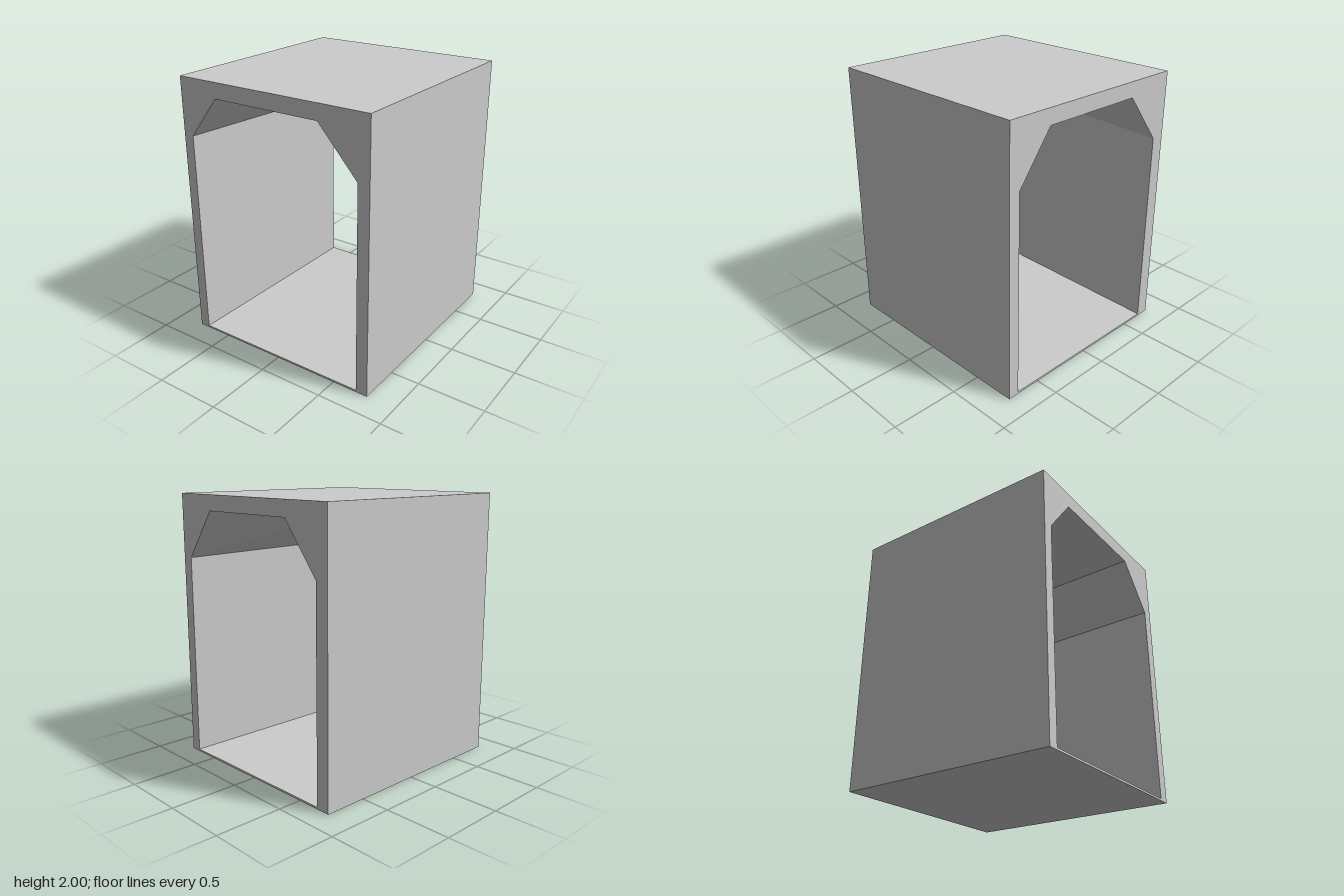
import * as THREE from 'three';

const W = 0.78, H = 2, D = 1.65;

// Opening outlines, matching corner by corner, at the front and the back
const frontOpening = [[-0.7, 0.015], [-0.7, 1.58], [-0.46, 1.885], [0.39, 1.885], [0.69, 1.55], [0.69, 0.015]];
const backOpening = [[-0.675, 0.015], [-0.675, 1.52], [-0.385, 1.885], [0.43, 1.885], [0.695, 1.53], [0.695, 0.015]];

const toPoints = (list) => list.map(([x, y]) => new THREE.Vector2(x, y));

export function createModel() {
  const group = new THREE.Group();
  group.name = 'tunnelSection';

  // Box shell with a chamfered passage running through it
  const outline = new THREE.Shape(toPoints([[-W, 0], [W, 0], [W, H], [-W, H]]));
  outline.holes.push(new THREE.Path(toPoints(frontOpening)));
  const geometry = new THREE.ExtrudeGeometry(outline, { depth: D, bevelEnabled: false });
  geometry.translate(0, 0, -D / 2);

  // Shift the rear corners of the passage so that it tapers slightly
  const pos = geometry.attributes.position;
  for (let i = 0; i < pos.count; i++) {
    if (pos.getZ(i) > 0) continue;
    const k = frontOpening.findIndex(([x, y]) => Math.hypot(pos.getX(i) - x, pos.getY(i) - y) < 1e-4);
    if (k >= 0) pos.setXY(i, ...backOpening[k]);
  }
  geometry.computeVertexNormals();

  const material = new THREE.MeshStandardMaterial({ color: 0xcccccc, flatShading: true });
  const shell = new THREE.Mesh(geometry, material);
  shell.name = 'shell';
  group.add(shell);
  return group;
}
